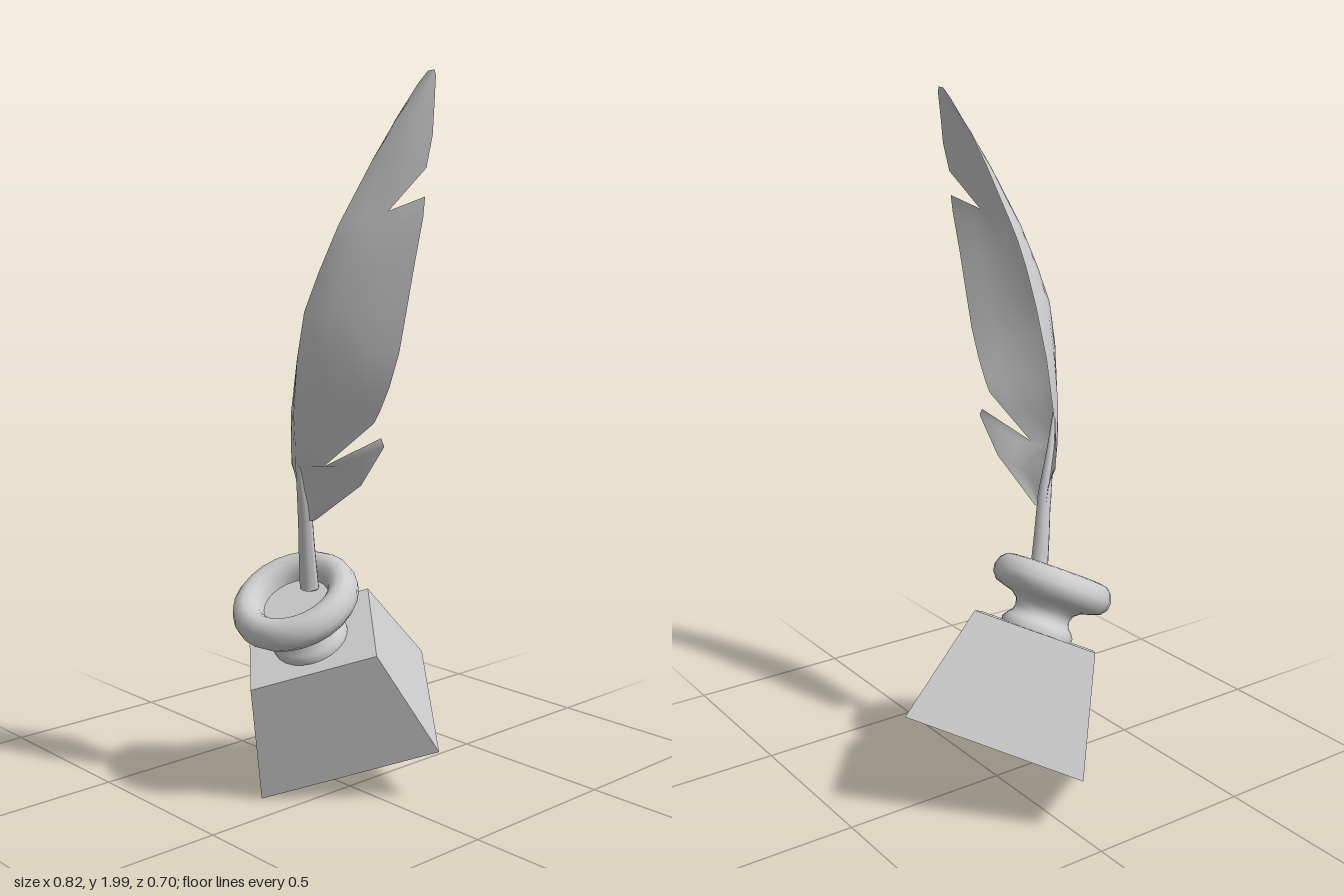
import * as THREE from 'three';
import { mergeGeometries, mergeVertices } from 'three/addons/utils/BufferGeometryUtils.js';

const V = (a) => new THREE.Vector3(...a);

// Feather midrib, from the quill to the tip
const RIDGE = [
  [0.008, 0.82, 0.175], [0.012, 0.87, 0.187], [0.03, 0.98, 0.22], [0.042, 1.03, 0.237],
  [0.065, 1.13, 0.262], [0.105, 1.28, 0.283], [0.13, 1.4, 0.28], [0.163, 1.5, 0.26],
  [0.185, 1.57, 0.24], [0.2, 1.62, 0.225], [0.26, 1.78, 0.165], [0.305, 1.87, 0.13],
  [0.355, 1.955, 0.09], [0.38, 2.0, 0.068],
];

// Vane edges; the right vane is cut into three by two notches
const LEFT = [
  [-0.012, 0.83, 0.165], [-0.02, 0.9, 0.168], [-0.07, 0.965, 0.155], [-0.075, 1.02, 0.152],
  [-0.055, 1.12, 0.158], [-0.01, 1.27, 0.165], [0.045, 1.41, 0.168], [0.088, 1.51, 0.166],
  [0.125, 1.585, 0.162], [0.15, 1.63, 0.157], [0.235, 1.79, 0.13], [0.285, 1.88, 0.11],
  [0.335, 1.97, 0.078], [0.36, 1.998, 0.07],
];
const LOW_NOTCH = [0.13, 0.99, 0.215];
const HIGH_NOTCH = [0.325, 1.655, 0.17];
const BARB = [
  [0.04, 0.825, 0.165], [0.2, 0.94, 0.145], [0.272, 1.05, 0.13], [0.26, 1.072, 0.13],
];
const MAIN = [
  [0.27, 1.115, 0.165], [0.29, 1.15, 0.162], [0.32, 1.21, 0.16], [0.35, 1.3, 0.155],
  [0.367, 1.4, 0.148], [0.387, 1.52, 0.14], [0.404, 1.64, 0.127], [0.403, 1.69, 0.12],
];
const TIP = [
  [0.402, 1.76, 0.115], [0.403, 1.84, 0.095], [0.398, 1.91, 0.085],
  [0.388, 1.985, 0.07], [0.381, 2.0, 0.068],
];

// Curved sheet between the midrib and one edge; first and last rows may bend through a notch
function vane(ridge, edge, { startMid, endMid, flip } = {}) {
  const n = 4, pos = [], index = [];
  ridge.forEach((r, i) => {
    const a = V(r), b = V(edge[i]);
    const notch = i === 0 ? startMid : i === ridge.length - 1 ? endMid : null;
    const mid = a.clone().lerp(b, 0.5);
    mid.z += 0.06 * Math.min(0.25, a.distanceTo(b));
    if (notch) mid.set(...notch);
    for (let j = 0; j <= n; j++) {
      const t = j / n;
      const p = t < 0.5 ? a.clone().lerp(mid, t * 2) : mid.clone().lerp(b, t * 2 - 1);
      pos.push(p.x, p.y, p.z);
    }
    if (i === 0) return;
    for (let j = 0; j < n; j++) {
      const d = i * (n + 1) + j, c = d - n - 1;
      if (flip) index.push(c, d, c + 1, c + 1, d, d + 1);
      else index.push(c, c + 1, d, c + 1, d + 1, d);
    }
  });
  const g = new THREE.BufferGeometry();
  g.setAttribute('position', new THREE.Float32BufferAttribute(pos, 3));
  g.setIndex(index);
  return g;
}

// Tube whose radius follows a rule along its length
function taperedTube(points, radiusAt) {
  const curve = new THREE.CatmullRomCurve3(points.map(V));
  const rows = 20, sides = 12;
  const g = new THREE.TubeGeometry(curve, rows, 1, sides);
  const p = g.attributes.position, v = new THREE.Vector3();
  for (let i = 0; i < p.count; i++) {
    const t = Math.floor(i / (sides + 1)) / rows;
    const c = curve.getPointAt(t);
    v.fromBufferAttribute(p, i).sub(c).multiplyScalar(radiusAt(t)).add(c);
    p.setXYZ(i, v.x, v.y, v.z);
  }
  g.computeVertexNormals();
  return g;
}

export function createModel() {
  const model = new THREE.Group();
  model.name = 'quillAndInkwell';
  const grey = new THREE.MeshStandardMaterial({ color: 0xcccccc, side: THREE.DoubleSide });
  grey.name = 'paleGrey';
  const add = (parent, name, geometry) => {
    const mesh = new THREE.Mesh(geometry, grey);
    mesh.name = name;
    parent.add(mesh);
    return mesh;
  };

  // Tilted inkwell, with its origin at the centre of the base's top face
  const inkwell = new THREE.Group();
  inkwell.name = 'inkwell';
  const up = V([0.108, 0.87, 0.48]).normalize();
  const side = V([0.687, 0.286, -0.668]);
  const front = side.clone().cross(up).normalize();
  side.crossVectors(up, front);
  inkwell.quaternion.setFromRotationMatrix(new THREE.Matrix4().makeBasis(side, up, front));
  inkwell.position.set(-0.04, 0.465, 0.114);
  model.add(inkwell);

  // Four-sided tapering base
  const height = 0.342;
  const block = new THREE.BoxGeometry(0.524, height, 0.431).translate(0, -height / 2, 0);
  const bp = block.attributes.position;
  for (let i = 0; i < bp.count; i++) {
    if (bp.getY(i) > -0.01) bp.setXYZ(i, bp.getX(i) * 0.69, 0, bp.getZ(i) * 0.69);
  }
  block.computeVertexNormals();
  add(inkwell, 'base', block);

  // Waisted neck, fat rounded rim and shallow ink floor
  const profile = [
    [0.108, -0.005], [0.109, 0.012], [0.1, 0.026], [0.087, 0.04], [0.083, 0.056], [0.089, 0.075],
    [0.108, 0.09], [0.135, 0.097], [0.162, 0.106], [0.178, 0.126], [0.181, 0.148],
    [0.173, 0.173], [0.156, 0.189], [0.137, 0.193], [0.117, 0.186], [0.103, 0.17],
    [0.097, 0.152], [0.094, 0.136],
  ].map(([x, y]) => new THREE.Vector2(x, y));
  add(inkwell, 'neckAndRim', new THREE.LatheGeometry(profile, 24));
  const floor = new THREE.CircleGeometry(0.096, 24).rotateX(-Math.PI / 2).translate(0, 0.137, 0);
  add(inkwell, 'inkSurface', floor);

  // Feather pen
  const quill = new THREE.Group();
  quill.name = 'quill';
  model.add(quill);
  const shaft = taperedTube(
    [[-0.023, 0.62, 0.133], [-0.008, 0.74, 0.155], [0.01, 0.86, 0.178], [0.028, 0.98, 0.21], [0.063, 1.13, 0.255]],
    (t) => (t < 0.45 ? 0.027 - 0.017 * t : 0.0194 * (1 - (t - 0.45) / 0.55) + 0.001),
  );
  add(quill, 'shaft', shaft);
  const end = add(quill, 'shaftEnd', new THREE.SphereGeometry(0.027, 12, 8));
  end.scale.y = 0.4;
  end.position.set(-0.023, 0.62, 0.133);

  const barbRidge = [RIDGE[0], RIDGE[1], [0.022, 0.93, 0.205], RIDGE[2]];
  const feather = mergeVertices(mergeGeometries([
    vane(RIDGE, LEFT, { flip: true }),
    vane(barbRidge, BARB, { endMid: LOW_NOTCH }),
    vane(RIDGE.slice(2, 10), MAIN, { startMid: LOW_NOTCH, endMid: HIGH_NOTCH }),
    vane(RIDGE.slice(9), TIP, { startMid: HIGH_NOTCH }),
  ]));
  feather.computeVertexNormals();
  add(quill, 'feather', feather);

  return model;
}
